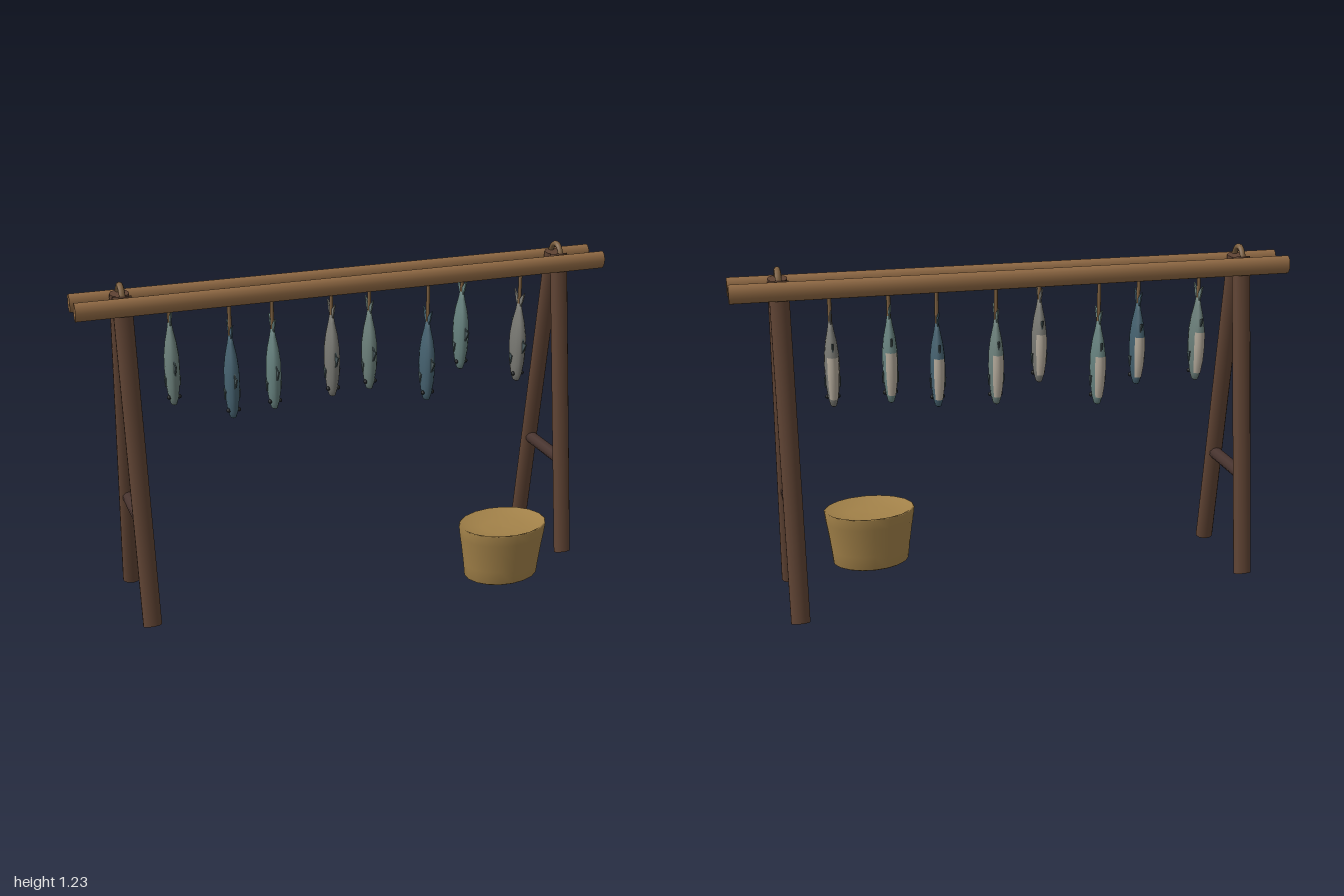
import * as THREE from 'three';

const SQUASH = 0.72; // the round timber is flattened front to back
const MID_Z = -0.092; // centre line of the rack
const V = (x, y, z) => new THREE.Vector3(x, y, z);
const mat = (color, side = THREE.FrontSide) => new THREE.MeshStandardMaterial({ color, side });

const LEG = mat(0x5f4333), BAR = mat(0x47332e), POLE = mat(0x916a44), ROPE = mat(0x7d6040);
const BASKET = mat(0xa38249), EYE = mat(0x1c1e20), BELLY = mat(0xb5ab9c), FIN = mat(0x4a5a5c, THREE.DoubleSide);
const SKINS = [0x6c807b, 0x466270, 0x67827f, 0x7a7a74].map((c) => mat(c));

function add(parent, name, geometry, material) {
  const mesh = new THREE.Mesh(geometry, material);
  mesh.name = name;
  parent.add(mesh);
  return mesh;
}

// Round log between two points
function log(parent, name, a, b, r, material, sides = 14) {
  const dir = b.clone().sub(a);
  const mesh = add(parent, name, new THREE.CylinderGeometry(r, r, dir.length(), sides), material);
  mesh.position.copy(a).add(b).multiplyScalar(0.5);
  mesh.quaternion.setFromUnitVectors(V(0, 1, 0), dir.normalize());
  return mesh;
}

// Thin fin lying in the y-z plane, from [z, y] corners
function fin(parent, name, corners, material = FIN) {
  const shape = new THREE.Shape(corners.map(([z, y]) => new THREE.Vector2(z, y)));
  const geometry = new THREE.ExtrudeGeometry(shape, { depth: 0.005, bevelEnabled: false });
  geometry.translate(0, 0, -0.0025).rotateY(-Math.PI / 2);
  return add(parent, name, geometry, material);
}

// Fish hanging by its tail, nose at the origin, back towards +z
function createFish(skin) {
  const fish = new THREE.Group();
  fish.name = 'fish';
  const profile = [[0, 0], [0.011, 0.008], [0.018, 0.035], [0.024, 0.08], [0.027, 0.14],
    [0.026, 0.19], [0.02, 0.24], [0.011, 0.285], [0.007, 0.312], [0, 0.316]]
    .map(([r, y]) => new THREE.Vector2(r, y));
  const body = new THREE.LatheGeometry(profile, 14);
  add(fish, 'fishBody', body, skin).scale.z = 1.7;

  const belly = new THREE.LatheGeometry(profile.slice(2, 6), 5, Math.PI - 0.8, 1.6);
  add(fish, 'fishBelly', belly, BELLY).scale.set(1.04, 1, 1.77);

  fin(fish, 'tailFin', [[-0.008, 0.295], [0.008, 0.295], [0.026, 0.322], [0.04, 0.36],
    [0.016, 0.342], [0, 0.322], [-0.016, 0.342], [-0.04, 0.36], [-0.026, 0.322]], skin);
  fin(fish, 'dorsalFin', [[0.04, 0.12], [0.075, 0.17], [0.052, 0.168], [0.04, 0.19]]);
  fin(fish, 'analFin', [[-0.036, 0.2], [-0.052, 0.245], [-0.028, 0.235]]);
  for (const side of [-1, 1]) {
    const eye = add(fish, 'eye', new THREE.SphereGeometry(0.008, 8, 6), EYE);
    eye.position.set(side * 0.019, 0.037, 0.012);
    const pectoral = fin(fish, 'pectoralFin', [[0, 0.075], [0.012, 0.11], [-0.012, 0.115]]);
    pectoral.position.x = side * 0.026;
  }
  return fish;
}

export function createModel() {
  const model = new THREE.Group();
  model.name = 'fishDryingRack';

  // Timber frame
  const frame = new THREE.Group();
  frame.name = 'frame';
  frame.position.z = MID_Z;
  frame.scale.z = SQUASH;
  model.add(frame);
  for (const x of [-0.833, 0.833]) {
    for (const s of [-1, 1]) log(frame, 'leg', V(x, 0.007, s * 0.262), V(x, 1.19, s * 0.03), 0.034, LEG);
    log(frame, 'crossbar', V(x, 0.385, -0.165), V(x, 0.385, 0.165), 0.024, BAR, 10);
    const lashing = add(frame, 'ropeLashing', new THREE.TorusGeometry(0.058, 0.011, 8, 24), ROPE);
    lashing.position.set(x, 1.166, 0);
    lashing.rotation.y = Math.PI / 2;
  }
  for (const s of [-1, 1]) {
    log(frame, 'hangingPole', V(-1, 1.161, s * 0.083), V(1, 1.161, s * 0.083), 0.033, POLE, 16);
  }

  // Fish alternate between the back and front poles
  const noseHeights = [0.745, 0.71, 0.68];
  for (let i = 0; i < 8; i++) {
    const x = -0.658 + i * 0.188;
    const z = MID_Z + (i % 2 ? 0.056 : -0.056);
    const y = noseHeights[i % 3];
    const fish = createFish(SKINS[i % 4]);
    fish.position.set(x, y, z);
    model.add(fish);
    log(model, 'hangingCord', V(x, y + 0.305, z), V(x, 1.15, z), 0.007, ROPE, 8);
  }

  // Oval basket with a shallow dished top
  const basketProfile = [[0, 0.01], [0.135, 0.01], [0.146, 0.016], [0.152, 0.07], [0.163, 0.15],
    [0.169, 0.185], [0.174, 0.225], [0.168, 0.229], [0.145, 0.216], [0.08, 0.208], [0, 0.206]]
    .map(([r, y]) => new THREE.Vector2(r, y));
  const basket = add(model, 'basket', new THREE.LatheGeometry(basketProfile, 18), BASKET);
  basket.position.set(0.517, 0, 0.178);
  basket.scale.z = 0.74;

  return model;
}
